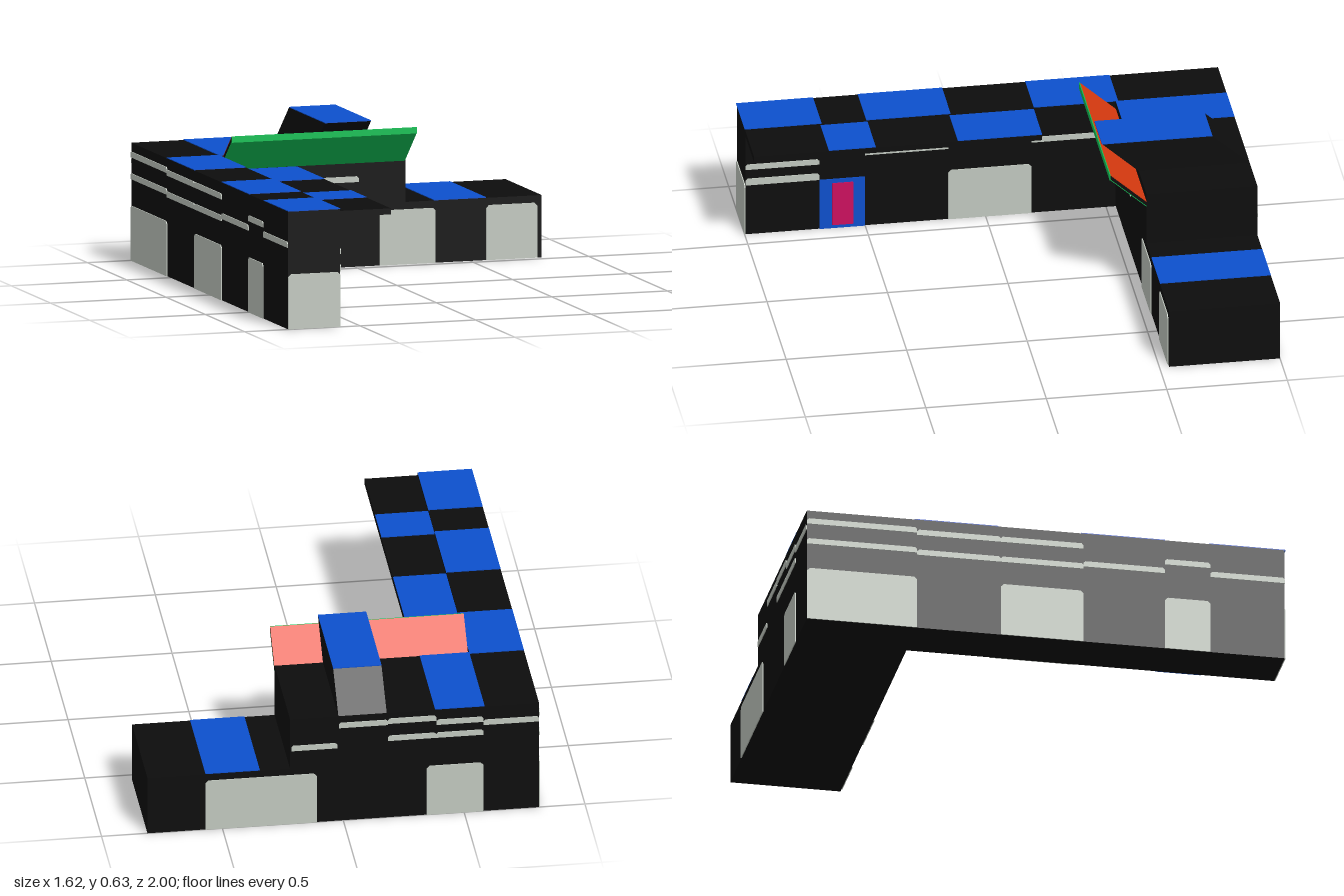
import * as THREE from 'three';

export function createModel() {
  const root = new THREE.Group();
  const mat = (name, color) => {
    const m = new THREE.MeshStandardMaterial({ color });
    m.name = name;
    return m;
  };
  const black = mat('black wall', 0x0d0d0d);
  const blue = mat('blue roof', 0x0d50cd);
  const grey = mat('pale grey', 0xc2c9c0);
  const green = mat('green', 0x10c055);
  const orange = mat('orange', 0xda3a10);
  const magenta = mat('magenta', 0xcc1060);

  const add = (name, geometry, material) => {
    const mesh = new THREE.Mesh(geometry, material);
    mesh.name = name;
    root.add(mesh);
    return mesh;
  };
  const box = (name, m, x0, x1, y0, y1, z0, z1) =>
    add(name, new THREE.BoxGeometry(x1 - x0, y1 - y0, z1 - z0), m)
      .position.set((x0 + x1) / 2, (y0 + y1) / 2, (z0 + z1) / 2);

  // Prism with a (z, y) profile, running along x
  const prism = (name, m, x0, x1, profile) => {
    const shape = new THREE.Shape(profile.map(([z, y]) => new THREE.Vector2(-z, y)));
    const g = new THREE.ExtrudeGeometry(shape, { depth: x1 - x0, bevelEnabled: false });
    g.rotateY(Math.PI / 2);
    return add(name, g, m).position.setX(x0);
  };

  // Thin wall plate with clipped top corners; a0..a1 runs along x or z
  const turns = { '+z': 0, '-z': Math.PI, '+x': Math.PI / 2, '-x': -Math.PI / 2 };
  const plate = (name, m, side, pos, a0, a1, y0, y1, clip = 0.008, depth = 0.004) => {
    const w = (a1 - a0) / 2, h = y1 - y0;
    const shape = new THREE.Shape([[-w, 0], [w, 0], [w, h - clip], [w - clip, h], [clip - w, h], [-w, h - clip]]
      .map(([u, v]) => new THREE.Vector2(u, v)));
    const mesh = add(name, new THREE.ExtrudeGeometry(shape, { depth, bevelEnabled: false }), m);
    const mid = (a0 + a1) / 2;
    mesh.rotation.y = turns[side];
    if (side[1] === 'z') mesh.position.set(mid, y0, pos);
    else mesh.position.set(pos, y0, mid);
  };

  // Building masses
  const H = 0.488;
  box('backBlock', black, -0.81, 0.22, 0, H, -1, -0.54);
  box('lowExtension', black, 0.22, 0.81, 0, 0.258, -1, -0.54);
  box('longWing', black, -0.81, -0.585, 0, H, -0.54, 0.996);
  box('wingCanopy', black, -0.585, -0.365, 0.455, 0.48, -0.2, 0.996);

  // Blue roof panels: x0, x1, z0, z1, height
  for (const [x0, x1, z0, z1, y] of [
    [-0.585, -0.38, -1, -0.54, H], [0.345, 0.57, -1, -0.54, 0.258],
    [-0.81, -0.585, -0.55, -0.2, H], [-0.81, -0.585, 0.145, 0.495, H], [-0.81, -0.585, 0.68, 1, H],
    [-0.585, -0.365, -0.2, 0.15, 0.48], [-0.585, -0.365, 0.49, 0.685, 0.48],
  ]) box('roofPanel', blue, x0, x1, y, y + 0.003, z0, z1);

  // Rooftop monitor with sloped ends
  prism('roofMonitor', black, -0.18, 0.02, [[-0.54, H], [-0.39, 0.625], [-0.845, 0.625], [-1, H]]);
  box('monitorRoof', blue, -0.18, 0.02, 0.625, 0.628, -0.845, -0.387);

  // Sloped awning: black core, orange top, green underside and rim
  const ax0 = -0.583, ax1 = 0.218;
  prism('awningCore', black, ax0, ax1, [[-0.54, 0.433], [-0.391, 0.568], [-0.391, 0.586], [-0.54, 0.451]]);
  prism('awningTop', orange, ax0, ax1, [[-0.54, 0.451], [-0.391, 0.586], [-0.391, 0.59], [-0.54, 0.455]]);
  prism('awningUnderside', green, ax0, ax1, [[-0.54, 0.429], [-0.391, 0.564], [-0.391, 0.568], [-0.54, 0.433]]);
  box('awningRim', green, ax0, ax1, 0.564, 0.59, -0.391, -0.387);

  // Doors: side, wall position, span
  for (const [side, pos, a0, a1] of [
    ['+z', 0.996, -0.81, -0.585], ['+z', -0.54, 0.108, 0.35], ['+z', -0.54, 0.57, 0.79],
    ['+x', -0.585, -0.19, 0.155],
    ['-z', -1, 0.11, 0.57], ['-z', -1, -0.58, -0.345],
    ['-x', -0.81, -1, -0.54], ['-x', -0.81, -0.19, 0.155], ['-x', -0.81, 0.495, 0.685],
  ]) plate('door', grey, side, pos, a0, a1, 0, 0.228, 0.012);

  // Entrance with blue frame
  plate('entranceFrame', blue, '+x', -0.585, 0.5, 0.69, 0, 0.228, 0.002);
  plate('entranceDoor', magenta, '+x', -0.585, 0.55, 0.637, 0.015, 0.21, 0.002, 0.007);

  // Window strips: side, wall position, span, centre height, strip height
  for (const [side, pos, a0, a1, y, h = 0.024] of [
    ['+z', -0.54, -0.583, -0.39, 0.363], ['+z', -0.54, -0.383, -0.185, 0.28, 0.038], ['+z', -0.54, -0.183, 0.018, 0.363],
    ['+x', -0.585, 0.69, 0.996, 0.313], ['+x', -0.585, 0.69, 0.996, 0.244, 0.03],
    ['+x', -0.585, 0.5, 0.69, 0.392], ['+x', -0.585, 0.155, 0.5, 0.34],
    ['+x', -0.585, -0.19, 0.155, 0.366], ['+x', -0.585, -0.54, -0.19, 0.34],
    ['-z', -1, 0.025, 0.215, 0.352], ['-z', -1, -0.185, 0.018, 0.445],
    ['-z', -1, -0.385, -0.185, 0.45], ['-z', -1, -0.385, -0.185, 0.37],
    ['-z', -1, -0.58, -0.385, 0.43], ['-z', -1, -0.58, -0.385, 0.37], ['-z', -1, -0.81, -0.58, 0.415],
    ['-x', -0.81, -1, -0.54, 0.44], ['-x', -0.81, -1, -0.54, 0.35],
    ['-x', -0.81, -0.54, -0.19, 0.43], ['-x', -0.81, -0.54, -0.19, 0.34],
    ['-x', -0.81, -0.19, 0.155, 0.43], ['-x', -0.81, -0.19, 0.155, 0.34],
    ['-x', -0.81, 0.155, 0.495, 0.35], ['-x', -0.81, 0.495, 0.685, 0.39], ['-x', -0.81, 0.685, 0.996, 0.35],
  ]) plate('windowStrip', grey, side, pos, a0, a1, y - h / 2, y + h / 2);

  return root;
}
